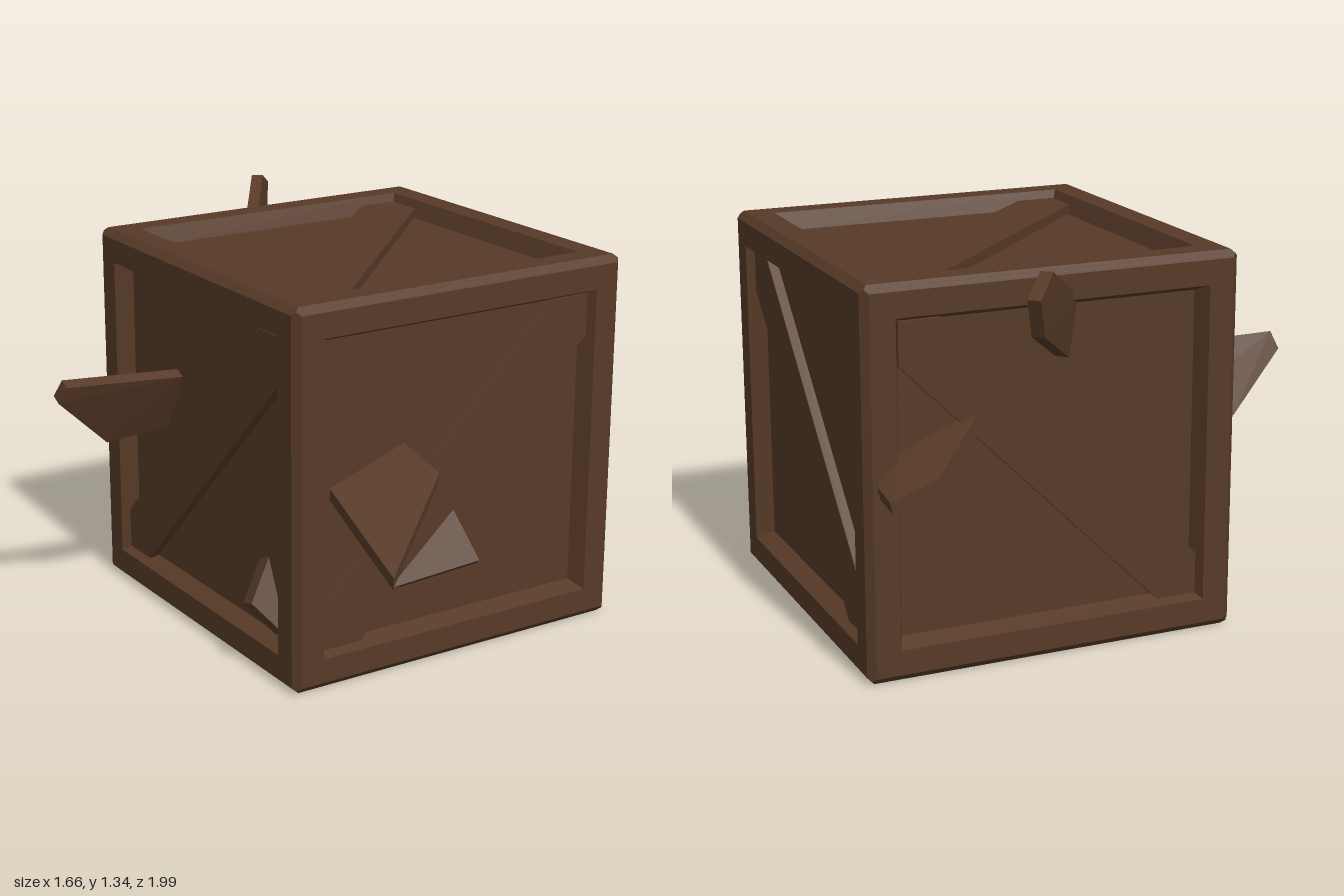
import * as THREE from 'three';
import { ConvexGeometry } from 'three/addons/geometries/ConvexGeometry.js';

const wood = new THREE.MeshStandardMaterial({ color: 0x573a27, flatShading: true });
wood.name = 'dark wood';

const HALF = 0.642, CENTRE_X = 0.185;

// One crate side facing +z: mitred chamfer, flat frame, sloped recess, panel
function sideGeometry() {
  const rings = [[HALF - 0.012, HALF - 0.012], [HALF - 0.024, HALF], [0.535, HALF], [0.51, HALF - 0.06]];
  const corners = rings.map(([h, z]) => [[-h, -h, z], [h, -h, z], [h, h, z], [-h, h, z]]);
  const pos = [];
  const quad = (a, b, c, d) => pos.push(...a, ...b, ...c, ...a, ...c, ...d);
  for (let r = 0; r < 3; r++) {
    for (let i = 0; i < 4; i++) {
      const j = (i + 1) % 4;
      quad(corners[r][i], corners[r][j], corners[r + 1][j], corners[r + 1][i]);
    }
  }
  quad(...corners[3]);
  const geo = new THREE.BufferGeometry();
  geo.setAttribute('position', new THREE.Float32BufferAttribute(pos, 3));
  geo.computeVertexNormals();
  return geo;
}

// Raised plank running corner to corner across the panel
function braceGeometry() {
  const h = 0.518, c = 0.14;
  const shape = new THREE.Shape([[-h, -h], [c - h, -h], [h, h - c], [h, h], [h - c, h], [-h, c - h]]
    .map(([x, y]) => new THREE.Vector2(x, y)));
  return new THREE.ExtrudeGeometry(shape, { depth: 0.035, bevelEnabled: false })
    .translate(0, 0, HALF - 0.062);
}

// Broken board: a flat outline given thickness by an offset
function splinter(name, outline, offset) {
  const off = new THREE.Vector3(...offset);
  const front = outline.map((p) => new THREE.Vector3(...p));
  const mesh = new THREE.Mesh(new ConvexGeometry([...front, ...front.map((p) => p.clone().add(off))]), wood);
  mesh.name = name;
  return mesh;
}

export function createModel() {
  const model = new THREE.Group();
  model.name = 'splinteredCrate';

  const crate = new THREE.Group();
  crate.name = 'crate';
  crate.position.set(CENTRE_X, HALF, 0);
  const panelGeo = sideGeometry(), braceGeo = braceGeometry();
  const q = Math.PI / 2;
  // name, rotation x, rotation y, brace turn
  const sides = [
    ['front', 0, 0, 0], ['back', 0, Math.PI, q], ['left', 0, q, q],
    ['right', 0, -q, 0], ['top', -q, 0, 0], ['bottom', q, 0, q],
  ];
  for (const [name, rx, ry, turn] of sides) {
    const side = new THREE.Group();
    side.name = name + 'Side';
    side.rotation.set(rx, ry, 0);
    const panel = new THREE.Mesh(panelGeo, wood);
    panel.name = name + 'FramedPanel';
    const brace = new THREE.Mesh(braceGeo, wood);
    brace.name = name + 'Brace';
    brace.rotation.z = turn;
    side.add(panel, brace);
    crate.add(side);
  }
  model.add(crate);

  // Broken boards sticking out of the sides
  model.add(
    splinter('frontUpperSplinter', [
      [-0.325, 0.505, 0.99], [0.01, 0.708, 0.755], [-0.01, 0.765, 0.57], [-0.29, 0.665, 0.57],
    ], [0, -0.038, -0.005]),
    splinter('frontLowerSplinter', [
      [-0.16, 0.255, 0.575], [0.185, 0.368, 0.745], [0.168, 0.548, 0.575],
    ], [0.012, -0.025, -0.035]),
    splinter('rightLargeSplinter', [
      [-0.39, 0.85, -0.17], [-0.81, 0.868, -0.215], [-0.83, 0.81, -0.24],
      [-0.62, 0.615, -0.31], [-0.39, 0.645, -0.275],
    ], [0, 0.018, -0.035]),
    splinter('rightSmallSplinter', [
      [-0.38, 0.385, 0.32], [-0.49, 0.235, 0.372], [-0.38, 0.1, 0.45],
    ], [0, 0.02, 0.055]),
    splinter('backUpperSplinter', [
      [0.08, 1.165, -0.57], [0.315, 1.335, -0.89], [0.405, 1.28, -1.0],
      [0.37, 1.155, -0.95], [0.11, 0.97, -0.57],
    ], [0.033, 0, 0.024]),
    splinter('backLowerSplinter', [
      [0.41, 0.855, -0.575], [0.67, 0.725, -0.845], [0.82, 0.672, -0.835],
      [0.81, 0.678, -0.7], [0.7, 0.735, -0.575],
    ], [-0.01, -0.042, 0]),
  );
  return model;
}
